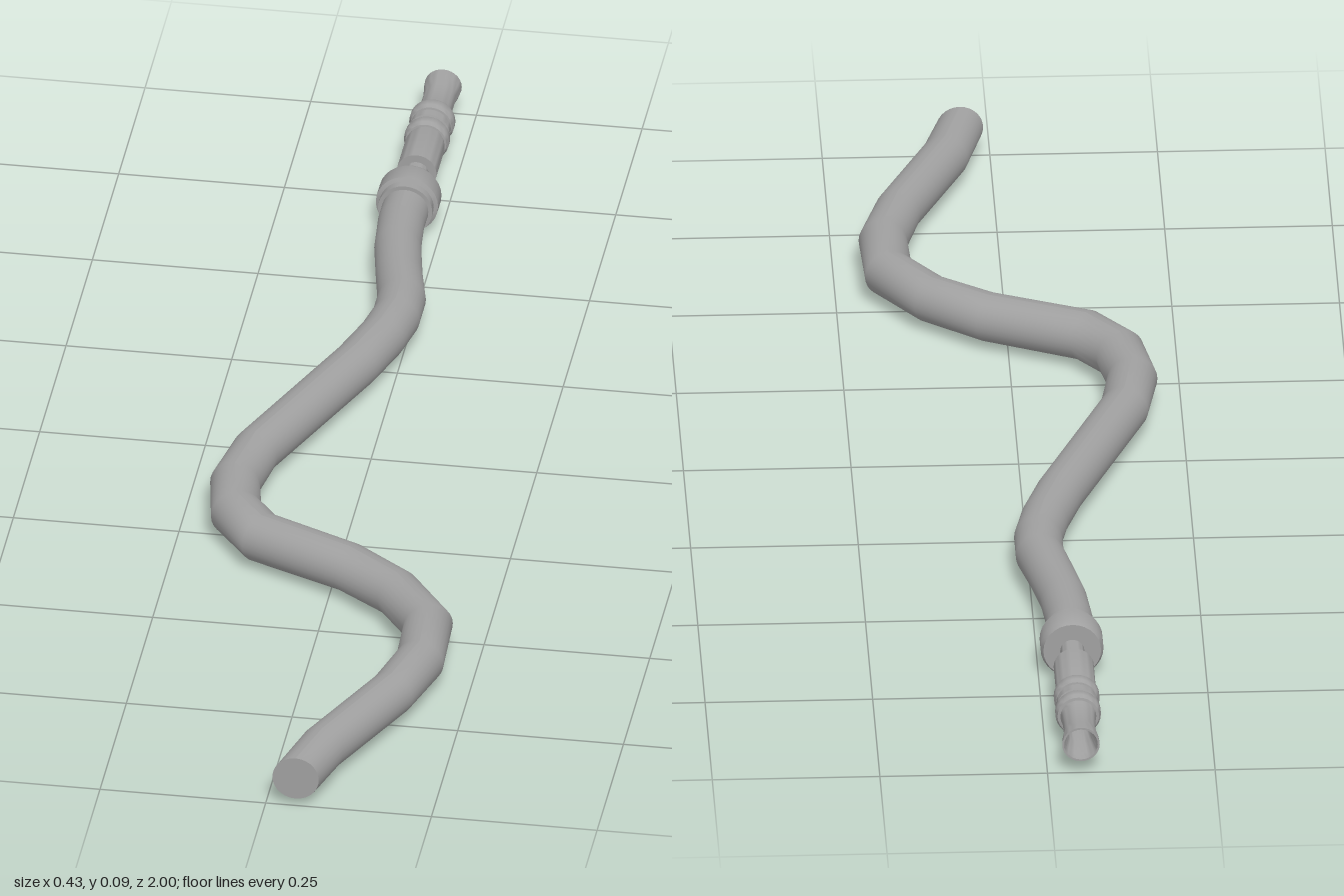
import * as THREE from 'three';
import { toCreasedNormals } from 'three/addons/utils/BufferGeometryUtils.js';

const AXIS_Y = 0.047;
const CONNECTOR_X = -0.05;
const material = new THREE.MeshStandardMaterial({ color: 0xa0a0a0 });

// Hose centre line from the cut end to the collar: x, z, radius
const PATH = [
  [0.045, 1, 0.035], [0.071, 0.907, 0.035], [0.148, 0.735, 0.035], [0.175, 0.638, 0.036],
  [0.171, 0.535, 0.036], [0.111, 0.45, 0.036], [0.029, 0.388, 0.037], [-0.114, 0.323, 0.038],
  [-0.162, 0.26, 0.038], [-0.177, 0.177, 0.037], [-0.161, 0.082, 0.036], [-0.053, -0.188, 0.036],
  [-0.027, -0.27, 0.036], [-0.015, -0.33, 0.036], [-0.015, -0.385, 0.036], [-0.03, -0.455, 0.035],
  [-0.044, -0.53, 0.035], [-0.05, -0.6, 0.035], [-0.05, -0.65, 0.035],
];

// Bends a capped cylinder along the path, one ring of vertices per path point
function hoseGeometry() {
  const last = PATH.length - 1;
  const geometry = new THREE.CylinderGeometry(1, 1, 1, 28, last);
  const pos = geometry.attributes.position;
  const dir = (a, b) => new THREE.Vector2(b[0] - a[0], b[1] - a[1]).normalize();
  const rings = PATH.map((p, i) => {
    // both ends are cut square to z
    if (i === 0 || i === last) return { sx: 1, sz: 0 };
    const before = dir(PATH[i - 1], p);
    const t = before.clone().add(dir(p, PATH[i + 1])).normalize();
    const miter = 1 / t.dot(before);
    return { sx: -t.y * miter, sz: t.x * miter };
  });
  for (let v = 0; v < pos.count; v++) {
    const i = Math.round((pos.getY(v) + 0.5) * last);
    const [x, z, r] = PATH[i];
    const { sx, sz } = rings[i];
    const side = pos.getX(v) * r;
    pos.setXYZ(v, x + sx * side, AXIS_Y + pos.getZ(v) * r, z + sz * side);
  }
  geometry.computeVertexNormals();
  return geometry;
}

// Turns a profile of [radius, distance towards the back] about the connector axis
function turned(name, profile) {
  const points = profile.map(([r, d]) => new THREE.Vector2(r, d));
  const geometry = toCreasedNormals(new THREE.LatheGeometry(points, 28), 0.6);
  geometry.rotateX(-Math.PI / 2);
  const mesh = new THREE.Mesh(geometry, material);
  mesh.name = name;
  mesh.position.set(CONNECTOR_X, AXIS_Y, 0);
  return mesh;
}

export function createModel() {
  const model = new THREE.Group();
  model.name = 'hoseWithConnector';

  const hose = new THREE.Mesh(hoseGeometry(), material);
  hose.name = 'hose';
  model.add(hose);

  // Stepped collar clamping the hose
  model.add(turned('collar', [
    [0, 0.638], [0.041, 0.638], [0.041, 0.652], [0.047, 0.655],
    [0.047, 0.688], [0.043, 0.696], [0, 0.696],
  ]));

  model.add(turned('stem', [[0, 0.69], [0.018, 0.69], [0.018, 0.76], [0, 0.76]]));

  // Mouthpiece with a flared, hollow end
  model.add(turned('mouthpiece', [
    [0, 0.747], [0.03, 0.747], [0.03, 0.825], [0.028, 0.832], [0.028, 0.905],
    [0.025, 0.915], [0.024, 0.945], [0.024, 0.965], [0.027, 0.985], [0.028, 1],
    [0.025, 1], [0.023, 0.985], [0.018, 0.96], [0.016, 0.92], [0, 0.92],
  ]));

  // Rounded grip rings around the mouthpiece
  [0.846, 0.896].forEach((d, i) => model.add(turned('gripRing' + (i + 1), [
    [0.026, d - 0.013], [0.031, d - 0.012], [0.034, d - 0.006],
    [0.034, d + 0.006], [0.031, d + 0.012], [0.026, d + 0.013],
  ])));
  model.add(turned('ringSpacer', [
    [0.026, 0.862], [0.031, 0.864], [0.031, 0.878], [0.026, 0.88],
  ]));

  return model;
}
